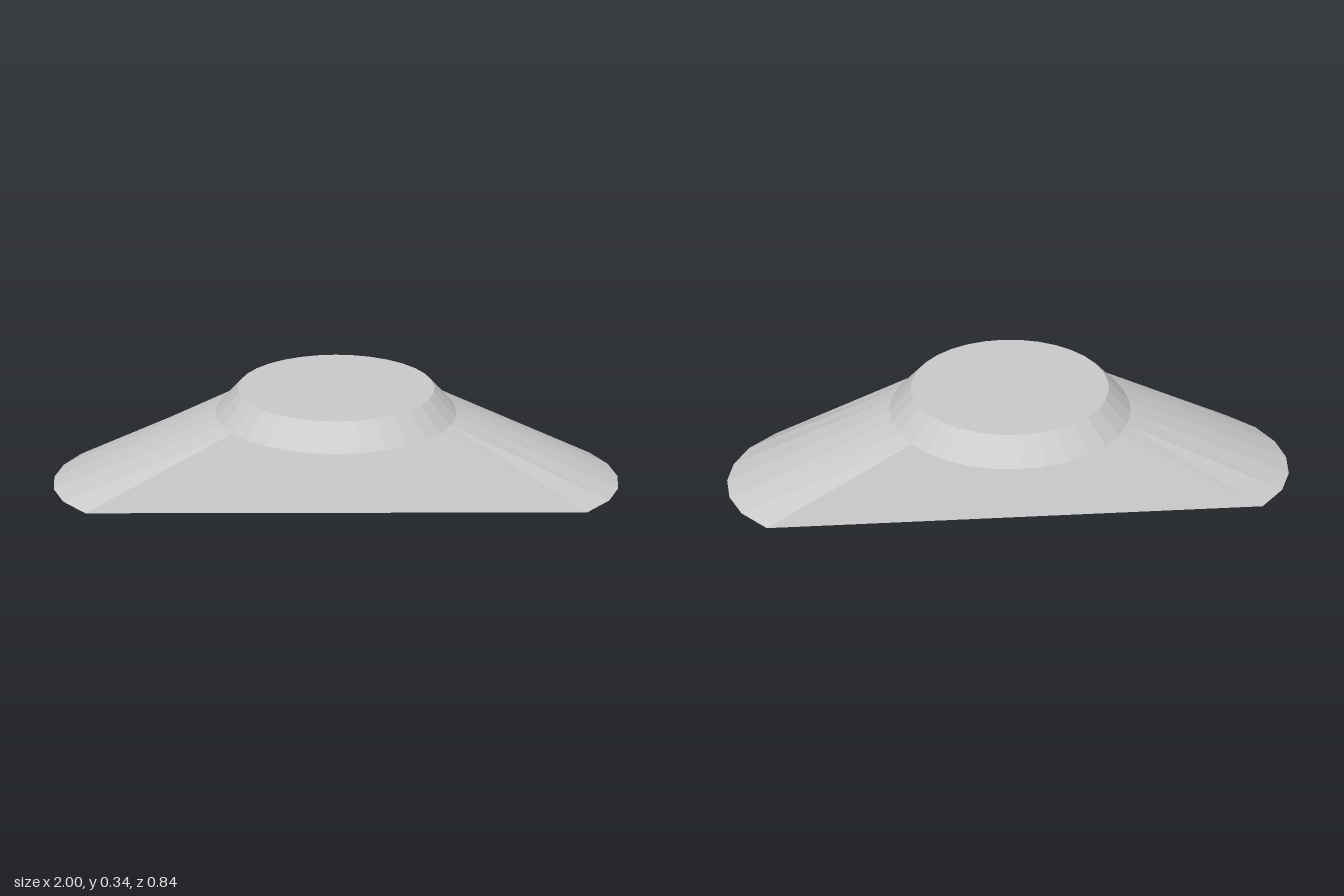
import * as THREE from 'three';

const CAP_Y = 0.256, TOP_Y = 0.34, RIM = 0.42;
const STEP = Math.PI / 16;

// Outline of an elongated foot: an arc at each end, joined by straight sides
function outline(y, halfWidth, radius, tip) {
  const end = [];
  for (let k = -3; k <= 3; k++) {
    const z = halfWidth * Math.sin(k * STEP) / Math.sin(3 * STEP);
    end.push([tip - radius + Math.sqrt(radius * radius - z * z), y, z]);
  }
  return [...end, ...end.map(([x, h, z]) => [-x, h, -z])];
}

// Closed solid between two outlines with matching points
function loft(lower, upper) {
  const n = lower.length, pos = [];
  const add = (...points) => points.forEach(p => pos.push(...p));
  const lowMid = [0, lower[0][1], 0], highMid = [0, upper[0][1], 0];
  for (let i = 0; i < n; i++) {
    const j = (i + 1) % n;
    add(lower[i], upper[i], lower[j], upper[i], upper[j], lower[j]);
    add(lowMid, lower[i], lower[j]);
    add(highMid, upper[j], upper[i]);
  }
  const geometry = new THREE.BufferGeometry();
  geometry.setAttribute('position', new THREE.Float32BufferAttribute(pos, 3));
  geometry.computeVertexNormals();
  return geometry;
}

export function createModel() {
  const group = new THREE.Group();
  group.name = 'pedestal';
  const material = new THREE.MeshStandardMaterial({ color: 0xcccccc, flatShading: true });

  // Sloping base: wide foot narrowing to the underside of the cap
  const base = new THREE.Mesh(
    loft(outline(0, 0.315, 0.397, 1), outline(CAP_Y, 0.233, RIM, RIM)), material);
  base.name = 'base';

  // Bevelled round cap overhanging the base at front and back
  const cap = new THREE.Mesh(
    new THREE.CylinderGeometry(0.342, RIM, TOP_Y - CAP_Y, 32), material);
  cap.name = 'cap';
  cap.position.y = (CAP_Y + TOP_Y) / 2;

  group.add(base, cap);
  return group;
}
